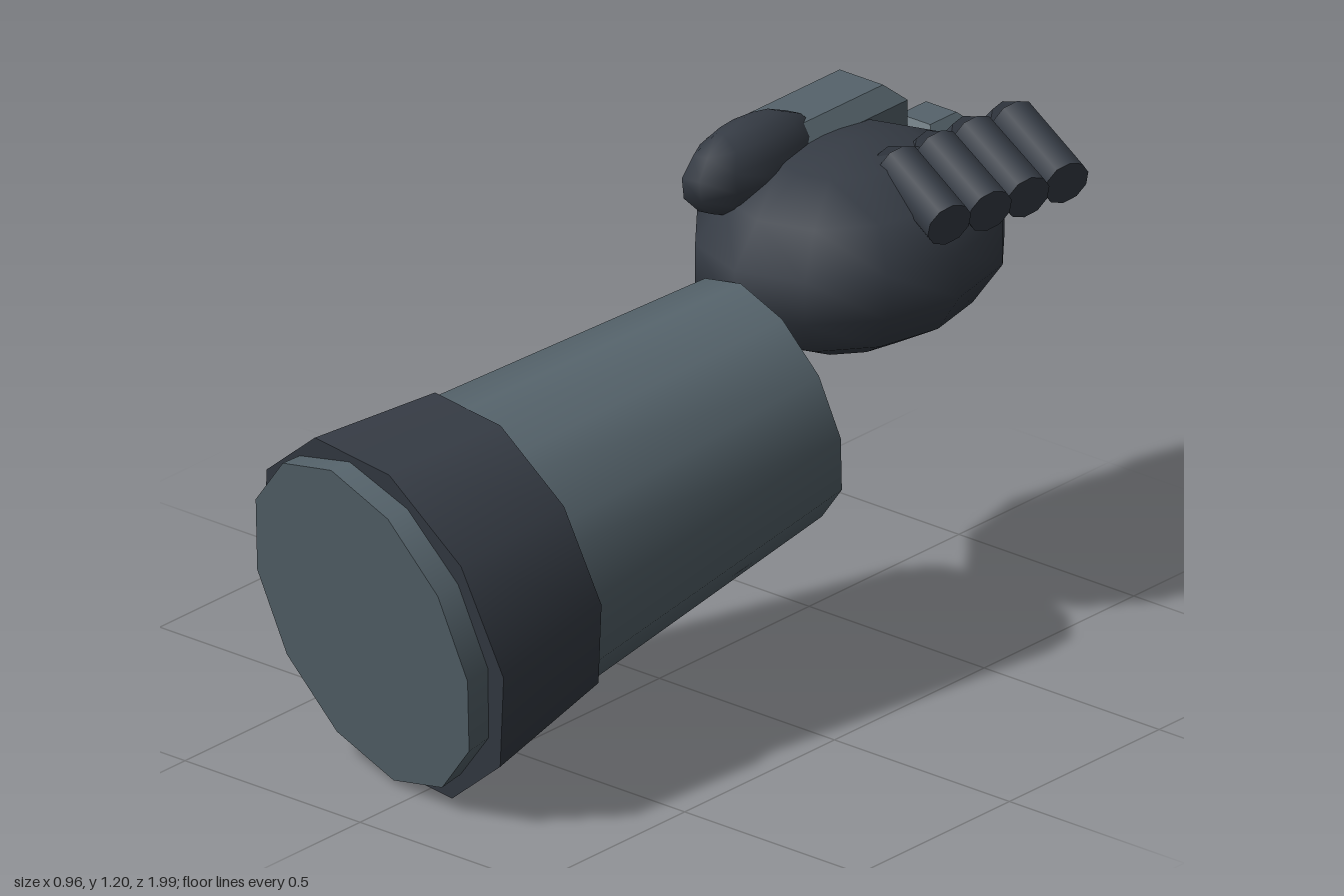
import * as THREE from 'three';
import { ConvexGeometry } from 'three/addons/geometries/ConvexGeometry.js';

const dark = new THREE.MeshStandardMaterial({ color: 0x363c45 });
dark.name = 'dark rubber';
const slate = new THREE.MeshStandardMaterial({ color: 0x55636b });
slate.name = 'slate armour';

const V = (p) => new THREE.Vector3(...p);

// Tapered cylinder running from point a to point b
function rod(name, a, b, ra, rb, sides, material, { start = 0, squash = 1 } = {}) {
  const from = V(a), to = V(b);
  const length = from.distanceTo(to);
  const geometry = new THREE.CylinderGeometry(rb, ra, length, sides, 1, false, start);
  geometry.rotateX(Math.PI / 2);
  geometry.scale(squash, 1, 1);
  const mesh = new THREE.Mesh(geometry, material);
  mesh.name = name;
  mesh.position.copy(from).add(to).multiplyScalar(0.5);
  mesh.lookAt(to);
  return mesh;
}

// Low-poly ellipsoid
function ellipsoid(name, centre, radii, sides, rings) {
  const mesh = new THREE.Mesh(new THREE.SphereGeometry(1, sides, rings), dark);
  mesh.name = name;
  mesh.position.set(...centre);
  mesh.scale.set(...radii);
  return mesh;
}

// Block whose upper edges are cut back by a bevel
function bevelledBlock(name, [x0, x1], [y0, y1], [z0, z1], bevel) {
  const points = [];
  for (const [y, inset] of [[y0, 0], [y1 - bevel, 0], [y1, bevel]]) {
    for (const x of [x0 + inset, x1 - inset]) {
      for (const z of [z0 + inset, z1 - inset]) points.push(V([x, y, z]));
    }
  }
  const mesh = new THREE.Mesh(new ConvexGeometry(points), slate);
  mesh.name = name;
  return mesh;
}

export function createModel() {
  const model = new THREE.Group();
  model.name = 'gauntletArm';

  // Forearm and the wide cuff around its elbow end
  model.add(
    rod('forearm', [-0.09, 0.405, 0.887], [0.135, 0.645, -0.19], 0.402, 0.295, 12, slate, { squash: 0.93 }),
    rod('cuff', [-0.07, 0.412, 0.84], [-0.015, 0.48, 0.53], 0.442, 0.39, 10, dark, { start: Math.PI / 2, squash: 0.93 }),
  );

  // Palm and thumb
  model.add(ellipsoid('palm', [0.095, 0.9, -0.525], [0.322, 0.232, 0.395], 12, 7));
  const thumb = ellipsoid('thumb', [-0.043, 1.097, -0.352], [0.083, 0.104, 0.21], 10, 7);
  thumb.rotation.z = 0.12;
  model.add(thumb);

  // Armour on the back of the hand
  model.add(
    bevelledBlock('handPlate', [-0.175, 0.025], [0.93, 1.15], [-0.8, -0.36], 0.038),
    bevelledBlock('knucklePlate', [-0.035, 0.092], [0.93, 1.06], [-0.928, -0.8], 0.02),
  );

  // Four curled fingers, each with a proximal and a tip segment
  const fingers = [
    ['index', 0.24, -0.89, 0.462, -0.82],
    ['middle', 0.225, -0.775, 0.447, -0.708],
    ['ring', 0.215, -0.665, 0.432, -0.6],
    ['little', 0.205, -0.55, 0.412, -0.487],
  ];
  for (const [name, kx, kz, tx, tz] of fingers) {
    const finger = new THREE.Group();
    finger.name = name + 'Finger';
    finger.add(
      rod('proximalSegment', [kx - 0.21, 0.865, kz - 0.05], [kx + 0.01, 1.09, kz], 0.056, 0.056, 10, dark),
      rod('tipSegment', [kx + 0.01, 1.097, kz], [tx, 1.035, tz], 0.055, 0.055, 10, dark),
    );
    model.add(finger);
  }

  return model;
}
